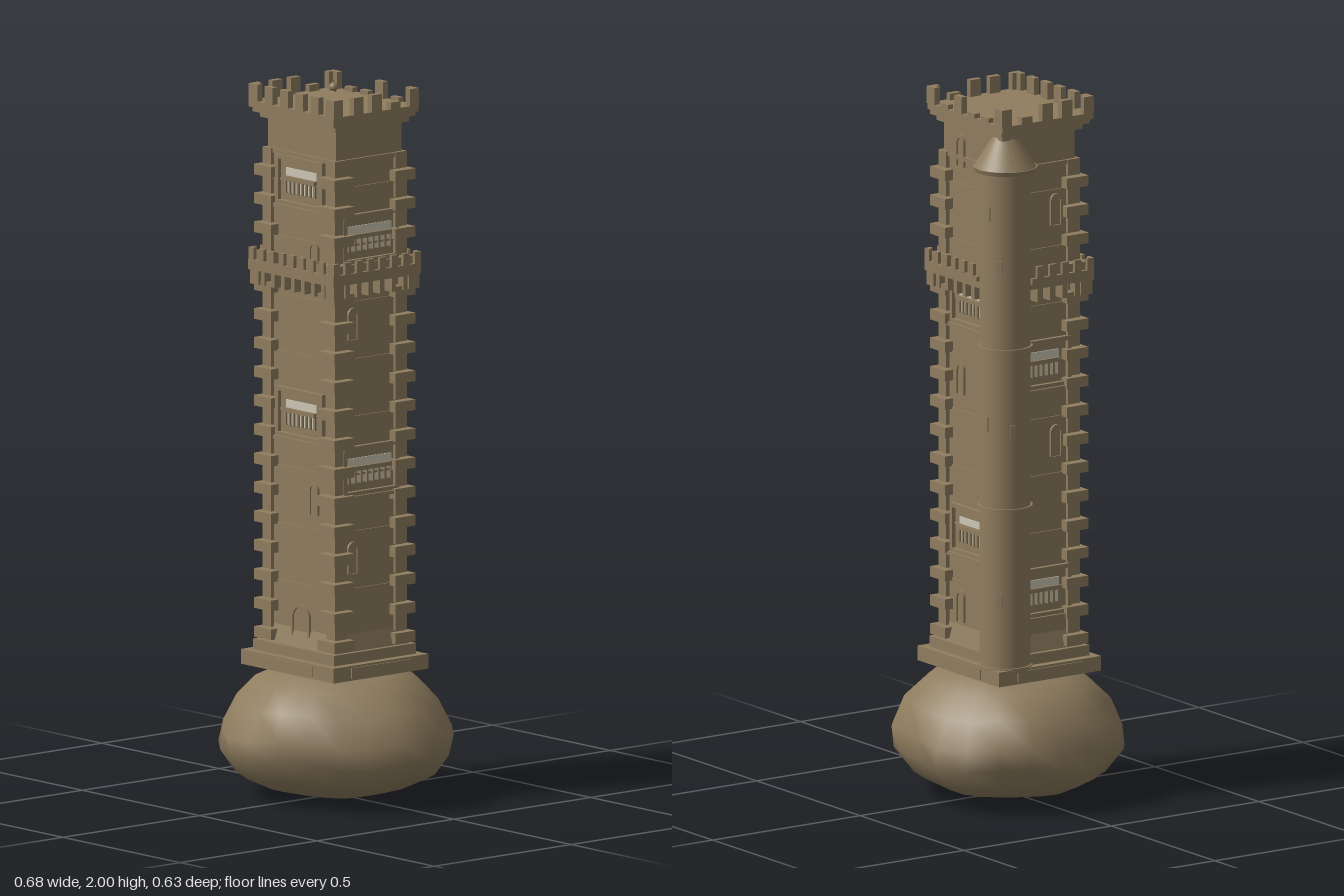
import * as THREE from 'three';
import { mergeVertices } from 'three/addons/utils/BufferGeometryUtils.js';

const stone = new THREE.MeshStandardMaterial({ color: 0x8f7d5f });
stone.name = 'stone';
const pale = new THREE.MeshStandardMaterial({ color: 0xcdc7b5 });
pale.name = 'pale opening';

const CX = -0.005, CZ = 0.002, HX = 0.145, HZ = 0.12; // body centre and half sizes

function add(parent, name, geo, x = 0, y = 0, z = 0, mat = stone) {
  const m = new THREE.Mesh(geo, mat);
  m.name = name;
  m.position.set(x, y, z);
  parent.add(m);
  return m;
}
const box = (p, name, w, h, d, x, y, z, mat) => add(p, name, new THREE.BoxGeometry(w, h, d), x, y, z, mat);
const span = (p, name, x0, x1, y0, y1, z0, z1) =>
  box(p, name, x1 - x0, y1 - y0, z1 - z0, (x0 + x1) / 2, (y0 + y1) / 2, (z0 + z1) / 2);

// Lumpy boulder under the tower
function rock() {
  const pts = [[0, 0], [0.11, 0.008], [0.2, 0.03], [0.28, 0.07], [0.325, 0.13], [0.325, 0.19],
    [0.29, 0.265], [0.23, 0.325], [0.16, 0.357], [0, 0.36]].map(p => new THREE.Vector2(...p));
  let geo = new THREE.LatheGeometry(pts, 22);
  geo.deleteAttribute('uv');
  geo.deleteAttribute('normal');
  const p = geo.attributes.position;
  for (let i = 0; i < p.count; i++) {
    const x = p.getX(i), y = p.getY(i), z = p.getZ(i), a = Math.atan2(z, x);
    const mid = Math.sin(Math.PI * y / 0.36);
    const k = 1 + mid * (0.025 * Math.sin(3 * a + y * 14) + 0.02 * Math.sin(7 * a - y * 30 + 1));
    const spike = 0.02 * Math.exp(-(a * a) / 0.05) * mid;
    p.setXYZ(i, x * k * 1.02 + spike, y + 0.012 * mid * Math.sin(5 * a + 2), z * k * 0.97);
  }
  geo = mergeVertices(geo, 1e-4);
  geo.computeVertexNormals();
  return geo;
}

// Upright arch outline, with its foot at y = 0
function archShape(w, h) {
  const s = new THREE.Shape(), r = w / 2;
  s.moveTo(-r, 0);
  s.lineTo(r, 0);
  s.lineTo(r, h - r);
  s.absarc(0, h - r, r, 0, Math.PI, false);
  s.lineTo(-r, 0);
  return s;
}

function arch(face, name, u, y, w, h) {
  const outer = archShape(w, h);
  outer.holes.push(new THREE.Path(archShape(w - 0.014, h - 0.009).getPoints(8)));
  const opt = { depth: 0.007, bevelEnabled: false, curveSegments: 8 };
  add(face, name + 'Surround', new THREE.ExtrudeGeometry(outer, opt), u, y, 0);
  add(face, name + 'Panel', new THREE.ShapeGeometry(archShape(w - 0.014, h - 0.009), 8), u, y, 0.002);
}

// Framed loggia window with small columns
function loggia(face, y, openWidth) {
  const g = new THREE.Group();
  g.name = 'loggia';
  g.position.y = y;
  face.add(g);
  const w = 0.2, h = 0.14;
  for (const s of [-1, 1]) {
    box(g, 'frameSide', 0.012, h, 0.014, s * (w / 2 - 0.006), 0, 0.005);
    box(g, 'frameRail', w, 0.012, 0.016, 0, s * (h / 2 - 0.006), 0.005);
  }
  box(g, 'sill', w + 0.01, 0.01, 0.024, 0, -h / 2 - 0.004, 0.008);
  box(g, 'opening', openWidth, 0.07, 0.004, 0, 0, 0.001, pale);
  box(g, 'handrail', openWidth, 0.012, 0.01, 0, 0.006, 0.006);
  for (let i = 0; i < 8; i++) {
    box(g, 'column', 0.007, 0.036, 0.007, (i / 7 - 0.5) * (openWidth - 0.007), -0.018, 0.005);
  }
}

export function createModel() {
  const root = new THREE.Group();
  root.name = 'towerOnRock';
  add(root, 'rock', rock());

  const tower = new THREE.Group();
  tower.name = 'tower';
  tower.position.set(CX, 0, CZ);
  root.add(tower);

  // Base: plinth, sloped foot and shaft
  box(tower, 'plinth', 0.394, 0.042, 0.346, 0, 0.381, 0);
  box(tower, 'plinthStep', 0.345, 0.03, 0.3, 0, 0.417, 0);
  const foot = new THREE.BoxGeometry(2 * HX + 0.03, 0.05, 2 * HZ + 0.03);
  const fp = foot.attributes.position;
  for (let i = 0; i < fp.count; i++) if (fp.getY(i) > 0) {
    fp.setX(i, Math.sign(fp.getX(i)) * HX);
    fp.setZ(i, Math.sign(fp.getZ(i)) * HZ);
  }
  foot.computeVertexNormals();
  add(tower, 'slopedFoot', foot, 0, 0.455, 0);
  box(tower, 'shaft', 2 * HX, 1.53, 2 * HZ, 0, 1.165, 0);

  // String courses
  for (let i = 0; i < 8; i++) {
    box(tower, 'stringCourse', 2 * HX + 0.008, 0.006, 2 * HZ + 0.008, 0, 0.605 + i * 0.162, 0);
  }
  box(tower, 'stringCourse', 2 * HX + 0.014, 0.012, 2 * HZ + 0.014, 0, 1.815, 0);

  // Alternating corner stones on the three free corners
  for (const [sx, sz] of [[1, 1], [1, -1], [-1, 1]]) {
    for (let i = 0; i < 34; i++) {
      const long = i % 2 === 0, y = 0.452 + i * 0.0408;
      const x0 = long ? 0.1 : 0.118, x1 = long ? 0.172 : 0.155;
      const z0 = long ? 0.075 : 0.09, z1 = long ? 0.148 : 0.131;
      box(tower, 'cornerStone', x1 - x0, long ? 0.03 : 0.046, z1 - z0,
        sx * (x0 + x1) / 2, y, sz * (z0 + z1) / 2);
    }
  }

  // Faces, ordered round the tower; openings step down one course per face
  const faces = [
    { name: 'front', d: HZ, turn: 0, loggias: [1.74, 1.085], arches: [1.49, 0.81], u: 0.055, open: 0.13 },
    { name: 'right', d: HX, turn: Math.PI / 2, loggias: [1.595, 0.94], arches: [1.31, 0.65], u: -0.06, open: 0.16 },
    { name: 'back', d: HZ, turn: Math.PI, loggias: [1.41, 0.755], arches: [1.79, 1.14, 0.49], u: -0.06, open: 0.13 },
    { name: 'left', d: HX, turn: -Math.PI / 2, loggias: [1.25, 0.6], arches: [1.64, 0.98], u: 0.055, open: 0.13 },
  ];
  for (const f of faces) {
    const g = new THREE.Group();
    g.name = f.name + 'Face';
    g.rotation.y = f.turn;
    g.position.set(Math.sin(f.turn) * f.d, 0, Math.cos(f.turn) * f.d);
    tower.add(g);
    f.loggias.forEach(y => loggia(g, y, f.open));
    f.arches.forEach(y => arch(g, 'archedWindow', f.u, y, 0.04, 0.09));
    if (f.name === 'front') arch(g, 'door', 0, 0.46, 0.078, 0.09);
    box(g, 'plinthPanel', 0.22, 0.03, 0.056, 0, 0.381, 0.028);
  }

  // Gallery, cut off where the stair turret stands
  const gx = 0.182, gz = 0.16;
  const plan = new THREE.Shape([[-gx, -gz], [gx, -gz], [gx, gz], [-0.12, gz], [-gx, 0.1]]
    .map(p => new THREE.Vector2(...p)));
  const slab = new THREE.ExtrudeGeometry(plan, { depth: 0.016, bevelEnabled: false });
  slab.rotateX(-Math.PI / 2);
  add(tower, 'galleryFloor', slab, 0, 1.475, 0);
  for (const s of [1, -1]) {
    const zStart = s > 0 ? -gz : -0.05, xStart = s > 0 ? -gx : -0.07;
    span(tower, 'galleryParapet', xStart, gx, 1.49, 1.505, s * (gz - 0.005) - 0.005, s * (gz - 0.005) + 0.005);
    span(tower, 'galleryParapet', s * (gx - 0.005) - 0.005, s * (gx - 0.005) + 0.005, 1.49, 1.505, zStart, gz);
    for (let i = 0; i < 9; i++) {
      const x = (i / 4 - 1) * (gx - 0.012);
      if (x < xStart) continue;
      box(tower, 'galleryMerlon', 0.022, 0.036, 0.01, x, 1.52, s * (gz - 0.005));
      box(tower, 'corbel', 0.016, 0.04, 0.035, x, 1.455, s * (HZ + 0.016));
    }
    for (let i = 0; i < 8; i++) {
      const z = (i / 3.5 - 1) * (gz - 0.012);
      if (z < zStart) continue;
      box(tower, 'galleryMerlon', 0.01, 0.036, 0.022, s * (gx - 0.005), 1.52, z);
      box(tower, 'corbel', 0.035, 0.04, 0.016, s * (HX + 0.016), 1.455, z);
    }
  }

  // Cornice and roof terrace
  box(tower, 'cornice', 0.32, 0.016, 0.27, 0, 1.913, 0);
  box(tower, 'cornice', 0.345, 0.014, 0.3, 0, 1.928, 0.003);
  box(tower, 'terrace', 0.362, 0.018, 0.31, 0, 1.943, 0.004);

  // Merlons; the weathered ones are stubs
  const merlon = (x, z, w, d, h) => box(tower, 'merlon', w, h, d, x, 1.951 + h / 2, z);
  for (const [i, x] of [-0.163, -0.098, -0.032, 0.032, 0.098, 0.163].entries()) {
    merlon(x, 0.149, 0.035, 0.018, 0.049);
    merlon(x, -0.143, 0.035, 0.018, [0, 3, 5].includes(i) ? 0.049 : 0.014);
  }
  for (const s of [-1, 1]) {
    for (const z of [-0.067, 0.002, 0.068]) merlon(s * 0.173, z, 0.018, 0.036, z < -0.05 ? 0.02 : 0.049);
    for (const z of [-0.136, 0.142]) merlon(s * 0.173, z, 0.018, 0.033, 0.049);
  }

  // Round stair turret at the back corner
  const turret = new THREE.Group();
  turret.name = 'stairTurret';
  turret.position.set(-0.13, 0, -0.1);
  root.add(turret);
  add(turret, 'turretShaft', new THREE.CylinderGeometry(0.071, 0.071, 1.45, 32), 0, 1.09, 0);
  for (const y of [0.4, 0.855, 1.31]) {
    add(turret, 'turretBand', new THREE.CylinderGeometry(0.077, 0.077, 0.012, 32), 0, y, 0);
  }
  add(turret, 'turretEave', new THREE.CylinderGeometry(0.09, 0.086, 0.012, 32), 0, 1.82, 0);
  add(turret, 'turretRoof', new THREE.ConeGeometry(0.087, 0.14, 32), 0, 1.895, 0);
  add(turret, 'finial', new THREE.SphereGeometry(0.013, 12, 8), 0, 1.965, 0);
  add(turret, 'finialTip', new THREE.ConeGeometry(0.004, 0.02, 8), 0, 1.983, 0);
  for (const [a, y] of [[3.9, 1.55], [4.4, 1.08], [3.3, 1.1], [3.9, 0.6], [3.4, 1.7]]) {
    const slit = box(turret, 'slitWindow', 0.014, 0.04, 0.008, Math.sin(a) * 0.071, y, Math.cos(a) * 0.071);
    slit.rotation.y = a;
  }
  return root;
}
